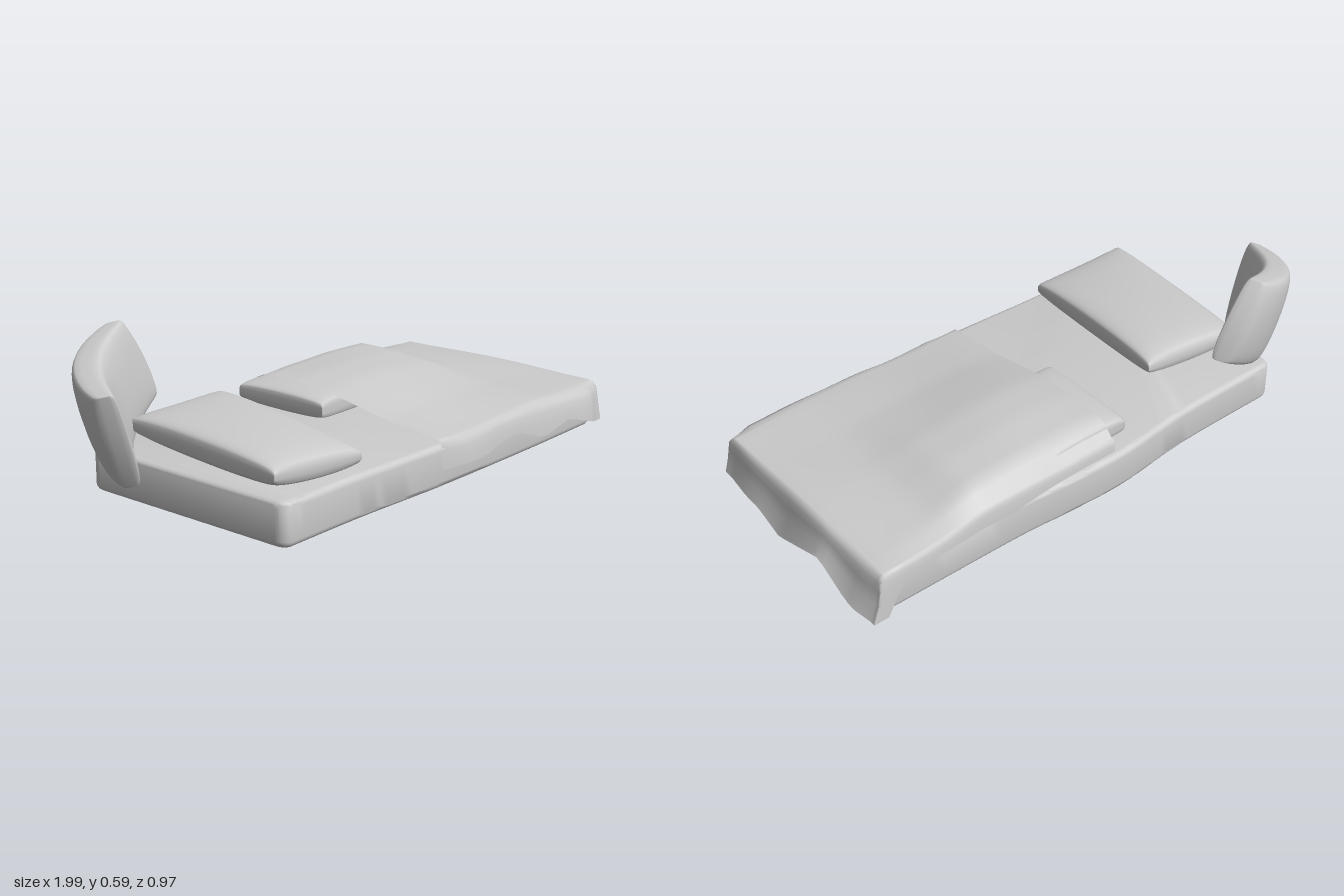
import * as THREE from 'three';
import { mergeVertices, toCreasedNormals } from 'three/addons/utils/BufferGeometryUtils.js';

const material = new THREE.MeshStandardMaterial({ color: 0xcccccc });
const sheetMaterial = new THREE.MeshStandardMaterial({ color: 0xcccccc, side: THREE.DoubleSide });

function addMesh(group, name, geometry, mat = material) {
  const mesh = new THREE.Mesh(geometry, mat);
  mesh.name = name;
  group.add(mesh);
}

// Piecewise linear lookup in a list of [position, value] pairs
function lookup(table, t) {
  if (t <= table[0][0]) return table[0][1];
  for (let i = 1; i < table.length; i++) {
    const [a, va] = table[i - 1], [b, vb] = table[i];
    if (t <= b) return va + (vb - va) * (t - a) / (b - a);
  }
  return table[table.length - 1][1];
}

// Cushion stretched over four corners (c00, c10, c11, c01), puffed along its normal
function cushion({ corners, puff, bend, pinch, power, rim }) {
  const [c00, c10, c11, c01] = corners.map((c) => new THREE.Vector3(...c));
  const normal = c11.clone().sub(c00).cross(c01.clone().sub(c10)).normalize();
  let geometry = new THREE.BoxGeometry(2, 2, 2, 24, 24, 1);
  geometry.deleteAttribute('uv');
  geometry.deleteAttribute('normal');
  geometry = mergeVertices(geometry);
  const pos = geometry.attributes.position;
  const p = new THREE.Vector3(), q = new THREE.Vector3();
  for (let i = 0; i < pos.count; i++) {
    // ease the grid towards the seams
    const u = Math.sin(pos.getX(i) * Math.PI / 2), v = Math.sin(pos.getY(i) * Math.PI / 2);
    const fu = 1 - u * u, fv = 1 - v * v;
    const s = (u * (1 - pinch * fv) + 1) / 2, t = (v * (1 - pinch * fu) + 1) / 2;
    p.lerpVectors(c00, c10, s);
    q.lerpVectors(c01, c11, s);
    p.lerp(q, t);
    const thick = rim + puff * Math.pow(Math.max(0, fu * fv), power);
    p.addScaledVector(normal, bend * fu + pos.getZ(i) * thick);
    pos.setXYZ(i, p.x, p.y, p.z);
  }
  geometry.computeVertexNormals();
  return geometry;
}

// Mattress: soft-edged slab with slightly bulging sides
function mattress() {
  const bevel = 0.022;
  const spline = (list) => list.map((a) => new THREE.Vector2(...a));
  const shape = new THREE.Shape();
  shape.moveTo(-0.74, -0.40);
  shape.splineThru(spline([[-0.4, -0.405], [0, -0.425], [0.5, -0.43], [0.885, -0.425]]));
  shape.quadraticCurveTo(0.915, -0.42, 0.915, -0.38);
  shape.lineTo(0.915, 0.37);
  shape.quadraticCurveTo(0.915, 0.41, 0.885, 0.41);
  shape.splineThru(spline([[0.4, 0.42], [0.2, 0.435], [-0.04, 0.445], [-0.35, 0.42], [-0.74, 0.42]]));
  shape.quadraticCurveTo(-0.76, 0.42, -0.76, 0.39);
  shape.lineTo(-0.76, -0.37);
  shape.quadraticCurveTo(-0.76, -0.40, -0.74, -0.40);
  const geometry = new THREE.ExtrudeGeometry(shape, {
    depth: 0.108, bevelEnabled: true, bevelSize: bevel, bevelThickness: bevel, bevelSegments: 4, curveSegments: 8,
  });
  geometry.rotateX(-Math.PI / 2);
  geometry.translate(0, 0.025 + bevel, 0);
  // head end sits a touch higher
  const pos = geometry.attributes.position;
  for (let i = 0; i < pos.count; i++) pos.setY(i, pos.getY(i) - 0.007 * pos.getX(i));
  return toCreasedNormals(geometry, 0.8);
}

// Blanket: sheet draped over the foot half, with uneven hems
function blanket() {
  const humpX = [[0, 0.88], [0.1, 0.98], [0.3, 1], [0.54, 0.84], [0.68, 0.3], [0.93, 0]];
  const humpZ = [[-0.43, 0.25], [-0.37, 0.95], [-0.2, 1], [-0.05, 0.88], [0.2, 0.32], [0.42, 0.03]];
  const frontHem = [[0, 0.09], [0.2, 0.085], [0.4, 0.12], [0.55, 0.065], [0.7, 0.1], [0.93, 0.03]];
  const footHem = [[-0.42, 0.01], [-0.3, 0.02], [-0.15, 0.09], [0.1, 0], [0.23, 0.04], [0.43, 0.03]];
  const backHem = [[0, 0.165], [0.3, 0.145], [0.55, 0.16], [0.86, 0.14], [0.93, 0.01]];
  const frontEdge = [[0, 0.45], [0.1, 0.47], [0.3, 0.462], [0.6, 0.482], [0.85, 0.495], [0.93, 0.46]];
  const footEdge = [[-0.43, 0.985], [-0.35, 1], [0, 0.99], [0.3, 0.982], [0.42, 0.965]];
  // drape steps: share of the overhang, and share of the drop (the foot flares outwards)
  const sideDrape = [[0.4, 0.03], [0.7, 0.14], [0.83, 0.36], [0.95, 0.65], [1, 1]];
  const footDrape = [[0.2, 0.05], [0.36, 0.16], [0.45, 0.36], [0.6, 0.65], [1, 1]];
  const flat = (a, b, n) => Array.from({ length: n + 1 }, (_, i) => ({ at: a + (b - a) * i / n, out: 0, fall: 0, end: 0 }));
  const hang = (drape, at, end) => drape.map(([out, fall]) => ({ at, out, fall, end }));
  const rows = [...flat(-0.02, 0.93, 24), ...hang(footDrape, 0.93, 1)];
  const cols = [...hang(sideDrape, -0.42, -1).reverse(), ...flat(-0.42, 0.42, 24), ...hang(sideDrape, 0.42, 1)];
  const points = [], index = [];
  rows.forEach((r, i) => cols.forEach((c, j) => {
    const x = r.at + (lookup(footEdge, c.at) - r.at) * r.out;
    const edge = c.end > 0 ? lookup(frontEdge, r.at) : -0.442;
    const z = c.at + (edge - c.at) * c.out;
    const top = 0.19 + 0.1 * lookup(humpX, r.at) * lookup(humpZ, c.at) + 0.005 * Math.sin(r.at * 9) * Math.cos(c.at * 7);
    const sideHem = lookup(c.end > 0 ? frontHem : backHem, r.at);
    const footY = top + (lookup(footHem, c.at) - top) * r.fall;
    const sideY = top + (sideHem - top) * c.fall;
    points.push(x, Math.min(footY, sideY), z);
    if (i && j) {
      const d = i * cols.length + j, b = d - cols.length;
      index.push(b - 1, b, d, b - 1, d, d - 1);
    }
  }));
  const geometry = new THREE.BufferGeometry();
  geometry.setAttribute('position', new THREE.Float32BufferAttribute(points, 3));
  geometry.setIndex(index);
  geometry.computeVertexNormals();
  return geometry;
}

export function createModel() {
  const group = new THREE.Group();
  group.name = 'bedding';
  addMesh(group, 'mattress', mattress());
  addMesh(group, 'blanket', blanket(), sheetMaterial);

  // Pillow lying at the head end
  addMesh(group, 'lyingPillow', cushion({
    corners: [[-0.77, 0.25, 0.37], [-0.39, 0.225, 0.40], [-0.32, 0.28, -0.28], [-0.71, 0.265, -0.32]],
    puff: 0.058, bend: -0.007, pinch: 0.02, power: 0.27, rim: 0.008,
  }));

  // Pillow propped upright across the back corner
  addMesh(group, 'proppedPillow', cushion({
    corners: [[-0.85, 0.12, -0.17], [-0.52, 0.30, -0.42], [-0.66, 0.585, -0.435], [-0.975, 0.455, -0.145]],
    puff: 0.053, bend: -0.075, pinch: -0.07, power: 0.24, rim: 0.016,
  }));

  // Small pillow tucked under the blanket
  addMesh(group, 'tuckedPillow', cushion({
    corners: [[-0.1, 0.222, -0.01], [0.22, 0.225, -0.01], [0.22, 0.225, -0.4], [-0.1, 0.222, -0.4]],
    puff: 0.038, bend: 0, pinch: 0.01, power: 0.22, rim: 0.012,
  }));
  return group;
}
